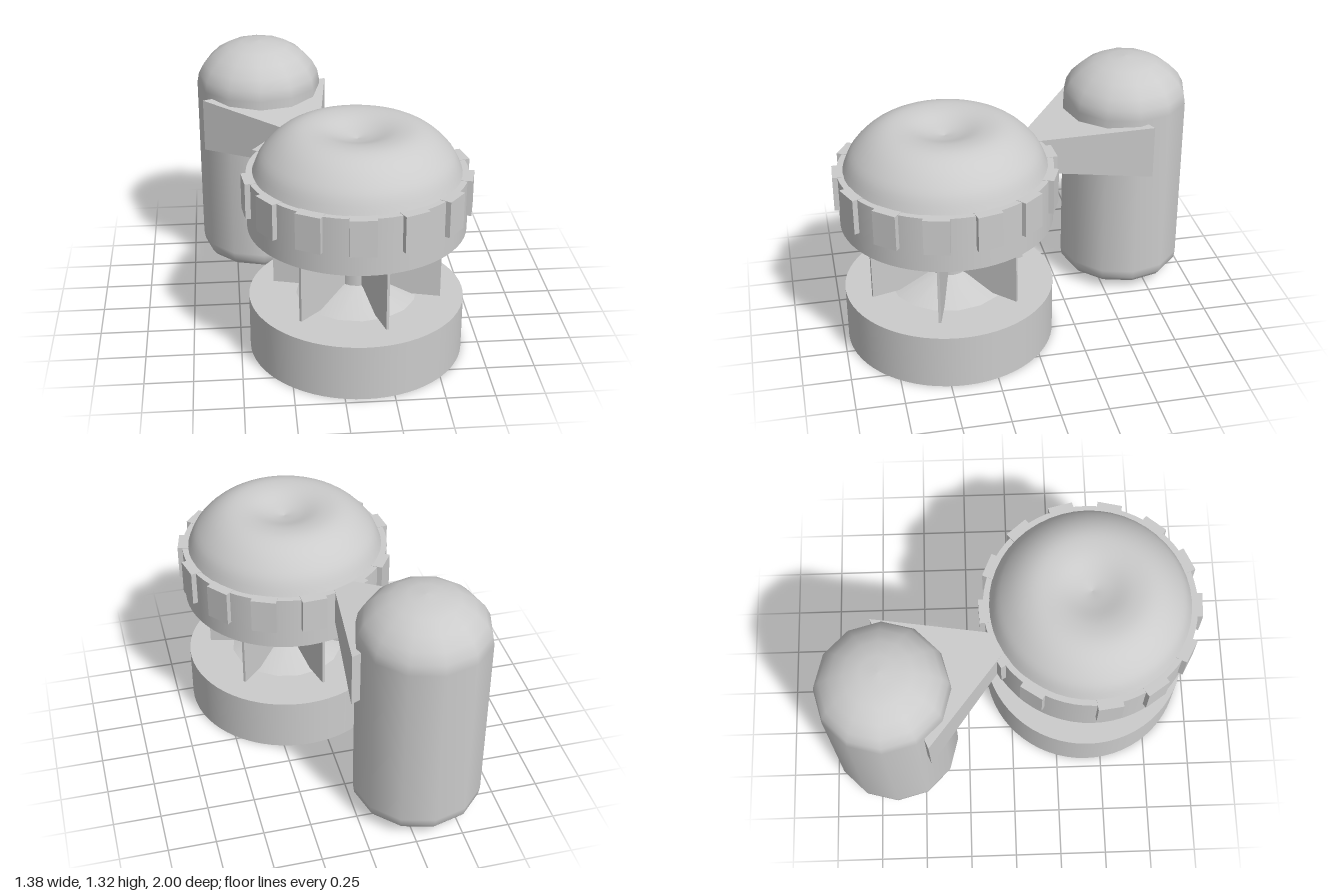
import * as THREE from 'three';

const material = new THREE.MeshStandardMaterial({ color: 0xcccccc });

function add(parent, name, geometry, x = 0, y = 0, z = 0) {
  const mesh = new THREE.Mesh(geometry, material);
  mesh.name = name;
  mesh.position.set(x, y, z);
  parent.add(mesh);
  return mesh;
}

const points = (list) => list.map(([x, y]) => new THREE.Vector2(x, y));
const rad = THREE.MathUtils.degToRad;

export function createModel() {
  const model = new THREE.Group();
  model.name = 'turbineAndTank';

  // Turbine body, built around its own axis
  const turbine = new THREE.Group();
  turbine.name = 'turbine';
  turbine.position.set(0.107, 0, 0.4175);
  model.add(turbine);

  add(turbine, 'base', new THREE.CylinderGeometry(0.558, 0.558, 0.3, 64), 0, 0.15, 0);
  add(turbine, 'upperRing', new THREE.CylinderGeometry(0.558, 0.558, 0.3, 64), 0, 0.85, 0);

  // Dome with a dimpled crown
  const crown = new THREE.SplineCurve(points([
    [0.527, 1.0], [0.485, 1.09], [0.4, 1.175], [0.305, 1.219], [0.2, 1.218], [0.09, 1.185], [0, 1.165],
  ]));
  add(turbine, 'dome', new THREE.LatheGeometry(crown.getPoints(24), 48));

  // Waisted spindle: foot cone, column and inverted cone
  add(turbine, 'footCone', new THREE.CylinderGeometry(0.1, 0.32, 0.085, 16, 1, true), 0, 0.34, 0);
  add(turbine, 'column', new THREE.CylinderGeometry(0.1, 0.1, 0.3, 16, 1, true), 0, 0.51, 0);
  add(turbine, 'neckCone', new THREE.CylinderGeometry(0.342, 0.1, 0.08, 16), 0, 0.662, 0);

  // Six thin fins with a notched top edge
  const finShape = new THREE.Shape(points([
    [0.09, 0.385], [0.12, 0.38], [0.29, 0.315], [0.44, 0.315],
    [0.44, 0.645], [0.296, 0.55], [0.12, 0.63], [0.09, 0.63],
  ]));
  const finGeometry = new THREE.ExtrudeGeometry(finShape, { depth: 0.014, bevelEnabled: false });
  finGeometry.translate(0, 0, -0.007);
  for (let i = 0; i < 6; i++) {
    add(turbine, 'fin', finGeometry).rotation.y = -rad(15 + 60 * i);
  }

  // Grip lugs around the upper ring
  const lugGeometry = new THREE.BoxGeometry(0.06, 0.19, 0.132);
  for (let i = 0; i < 13; i++) {
    const a = rad(-145.9 + 26.53 * i);
    const lug = add(turbine, 'gripLug', lugGeometry, 0.551 * Math.cos(a), 0.907, 0.551 * Math.sin(a));
    lug.rotation.y = -a;
  }

  // Bracket flaring from the ring to the tank: a box whose far end is enlarged
  const bracketGeometry = new THREE.BoxGeometry(1, 1, 1);
  const p = bracketGeometry.attributes.position;
  for (let i = 0; i < p.count; i++) {
    const far = p.getX(i) > 0;
    p.setXYZ(
      i,
      far ? 1.079 : 0.53,
      0.907 + p.getY(i) * (far ? 0.295 : 0.19),
      p.getZ(i) * (far ? 0.757 : 0.125),
    );
  }
  bracketGeometry.computeVertexNormals();
  add(turbine, 'bracket', bracketGeometry).rotation.y = rad(113);

  // Twelve-sided tank with rounded ends
  const tankProfile = points([
    [0, 0.032], [0.15, 0.032], [0.27, 0.035], [0.315, 0.055], [0.338, 0.085], [0.345, 0.13],
    [0.345, 1.08], [0.335, 1.135], [0.305, 1.19], [0.25, 1.245], [0.175, 1.29], [0.09, 1.311], [0, 1.317],
  ]);
  add(model, 'tank', new THREE.LatheGeometry(tankProfile, 12), -0.348, 0, -0.655);

  return model;
}
